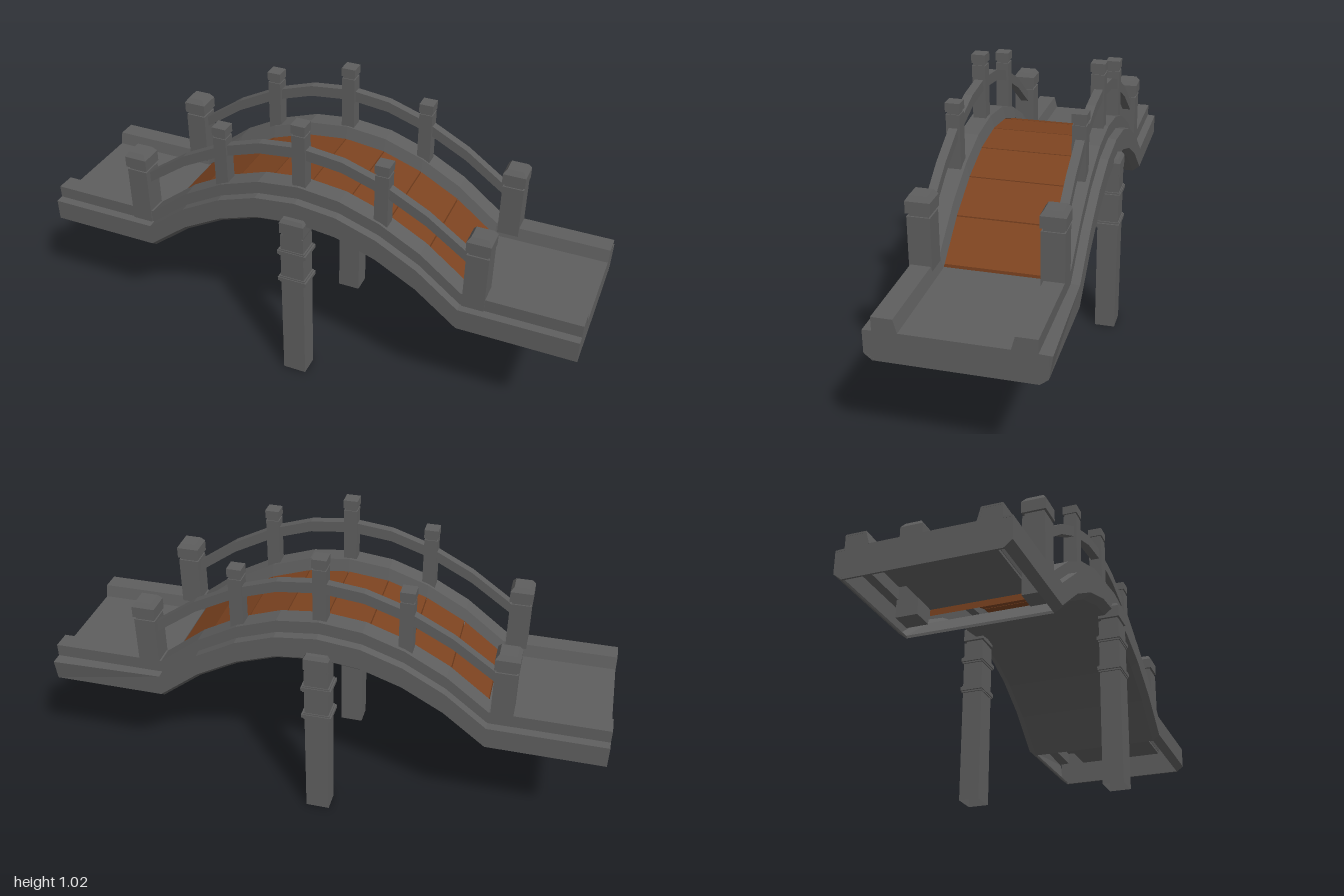
import * as THREE from 'three';

const stone = new THREE.MeshStandardMaterial({ color: 0x5e5e5e, flatShading: true, side: THREE.DoubleSide });
const wood = new THREE.MeshStandardMaterial({ color: 0x7c4320, flatShading: true });

// Deck height along the bridge: flat landings joined by an arch
const half = [[0, 0.745], [0.15, 0.728], [0.295, 0.678], [0.44, 0.598], [0.59, 0.48]];
const mirrorPath = h => [...h.slice(1).reverse().map(([x, y]) => [-x, y]), ...h];
const arch = mirrorPath(half);
const fullPath = mirrorPath([...half, [1, 0.48]]);

function deckY(x) {
  const i = Math.max(1, arch.findIndex(p => p[0] >= x));
  const [a, b] = [arch[i - 1], arch[i]];
  return a[1] + (b[1] - a[1]) * (x - a[0]) / (b[0] - a[0]);
}

// Carry a [z, y] cross-section along an [x, y] path, keeping it upright
function sweep(section, path) {
  const steps = path.length - 1;
  const shape = new THREE.Shape(section.map(([z, y]) => new THREE.Vector2(-z, y)));
  const geo = new THREE.ExtrudeGeometry(shape, { depth: steps, steps, bevelEnabled: false });
  const pos = geo.attributes.position;
  for (let i = 0; i < pos.count; i++) {
    const [x, y] = path[Math.round(pos.getZ(i))];
    pos.setXYZ(i, x, pos.getY(i) + y, -pos.getX(i));
  }
  geo.computeVertexNormals();
  return geo;
}

const rect = (z0, z1, y0, y1) => [[z0, y0], [z1, y0], [z1, y1], [z0, y1]];
const flip = section => section.map(([z, y]) => [-z, y]);

function add(parent, name, geo, material = stone) {
  const mesh = new THREE.Mesh(geo, material);
  mesh.name = name;
  parent.add(mesh);
  return mesh;
}

function box(parent, name, w, d, y0, y1, x = 0, z = 0) {
  const mesh = add(parent, name, new THREE.BoxGeometry(w, y1 - y0, d));
  mesh.position.set(x, (y0 + y1) / 2, z);
  return mesh;
}

// Block whose top face is smaller than its base
function taper(parent, name, w, d, y0, y1, inset) {
  const mesh = box(parent, name, w, d, y0, y1);
  const pos = mesh.geometry.attributes.position;
  for (let i = 0; i < pos.count; i++) {
    if (pos.getY(i) > 0) {
      pos.setX(i, pos.getX(i) - Math.sign(pos.getX(i)) * inset);
      pos.setZ(i, pos.getZ(i) - Math.sign(pos.getZ(i)) * inset);
    }
  }
  mesh.geometry.computeVertexNormals();
}

function postGroup(name, x, z) {
  const post = new THREE.Group();
  post.name = name;
  post.position.set(x, 0, z);
  return post;
}

// Thick corner post with a bevelled cap
function makeEndPost(x, z) {
  const post = postGroup('endPost', x, z);
  box(post, 'shaft', 0.077, 0.077, 0.41, 0.693);
  box(post, 'neck', 0.066, 0.066, 0.693, 0.704);
  box(post, 'cap', 0.083, 0.083, 0.704, 0.745);
  taper(post, 'capTop', 0.083, 0.083, 0.745, 0.763, 0.012);
  return post;
}

// Slim post with a plain square cap
function makeRailPost(name, y0, top, x, z) {
  const post = postGroup(name, x, z);
  box(post, 'shaft', 0.048, 0.048, y0, top - 0.04);
  box(post, 'neck', 0.041, 0.041, top - 0.04, top - 0.031);
  box(post, 'cap', 0.051, 0.051, top - 0.031, top);
  return post;
}

// Support column, open at the foot, with two collars and a bevelled head
function makePillar(z) {
  const pillar = postGroup('pillar', -0.002, z);
  const column = box(pillar, 'column', 0.086, 0.074, 0, 0.615);
  const faces = Array.from(column.geometry.index.array);
  column.geometry.setIndex([...faces.slice(0, 12), ...faces.slice(24)]);
  column.geometry.clearGroups();
  box(pillar, 'headNeck', 0.07, 0.062, 0.61, 0.63);
  box(pillar, 'head', 0.09, 0.078, 0.625, 0.668);
  taper(pillar, 'headTop', 0.09, 0.078, 0.668, 0.682, 0.008);
  for (const y of [0.425, 0.543]) {
    box(pillar, 'collar', 0.108, 0.086, y - 0.007, y + 0.007);
    box(pillar, 'collarCore', 0.096, 0.08, y - 0.013, y + 0.013);
  }
  return pillar;
}

export function createModel() {
  const bridge = new THREE.Group();
  bridge.name = 'archedBridge';

  // Side beam with a raised curb: a thin shell, hollow inside
  const outer = [[0.253, -0.104], [0.28, -0.082], [0.28, -0.003], [0.25, -0.001],
    [0.25, 0.045], [0.182, 0.045], [0.17, 0]];
  const inner = [[0.177, -0.003], [0.187, 0.039], [0.244, 0.039], [0.244, -0.007],
    [0.274, -0.009], [0.274, -0.079], [0.25, -0.098]];
  const beam = [...outer, ...inner];
  // Handrails, following a steeper arch than the deck
  const rail = rect(0.2, 0.231, -0.02, 0.02);
  const railPath = mirrorPath([[0, 0.913], [0.15, 0.896], [0.295, 0.848], [0.45, 0.767], [0.6, 0.66]]);

  for (const side of [1, -1]) {
    const mesh = add(bridge, 'sideBeam', sweep(side > 0 ? beam : flip(beam), fullPath));
    // Slight outward flare at one rear corner
    if (side < 0) {
      const pos = mesh.geometry.attributes.position;
      for (let i = 0; i < pos.count; i++) {
        if (pos.getX(i) > 0.99 && pos.getZ(i) < -0.27 && pos.getY(i) > 0.45) pos.setZ(i, pos.getZ(i) - 0.012);
      }
      mesh.geometry.computeVertexNormals();
    }
    add(bridge, 'handrail', sweep(side > 0 ? rail : flip(rail), railPath));

    const z = side > 0 ? 0.216 : -0.212;
    for (const x of [-0.635, 0.635]) bridge.add(makeEndPost(x, z));
    for (const x of [-0.295, 0.295]) bridge.add(makeRailPost('railPost', 0.67, 0.943, x, z));
    bridge.add(makeRailPost('centerPost', 0.73, 1.022, 0, z));
    bridge.add(makePillar(side > 0 ? 0.266 : -0.264));
  }

  // Arch underside
  add(bridge, 'archUnderside', sweep(rect(-0.253, 0.253, -0.104, -0.094), arch));

  // Landings: thin floor over a recess, closed by an end wall
  const endWall = [...outer, ...flip(outer).reverse()];
  for (const s of [1, -1]) {
    box(bridge, 'landing', 0.41, 0.35, 0.468, 0.48, s * 0.79);
    const ends = [[0.993, 0.48], [0.9995, 0.48]];
    add(bridge, 'endWall', sweep(endWall, s > 0 ? ends : ends.map(([x, y]) => [-x, y]).reverse()));
  }

  // Wooden deck planks with narrow gaps
  const edges = [-0.58, ...arch.slice(1, -1).map(p => p[0]), 0.58];
  for (let i = 0; i < edges.length - 1; i++) {
    const ends = [edges[i] + 0.002, edges[i + 1] - 0.002].map(x => [x, deckY(x)]);
    add(bridge, 'plank', sweep(rect(-0.178, 0.178, -0.04, -0.002), ends), wood);
  }

  return bridge;
}
